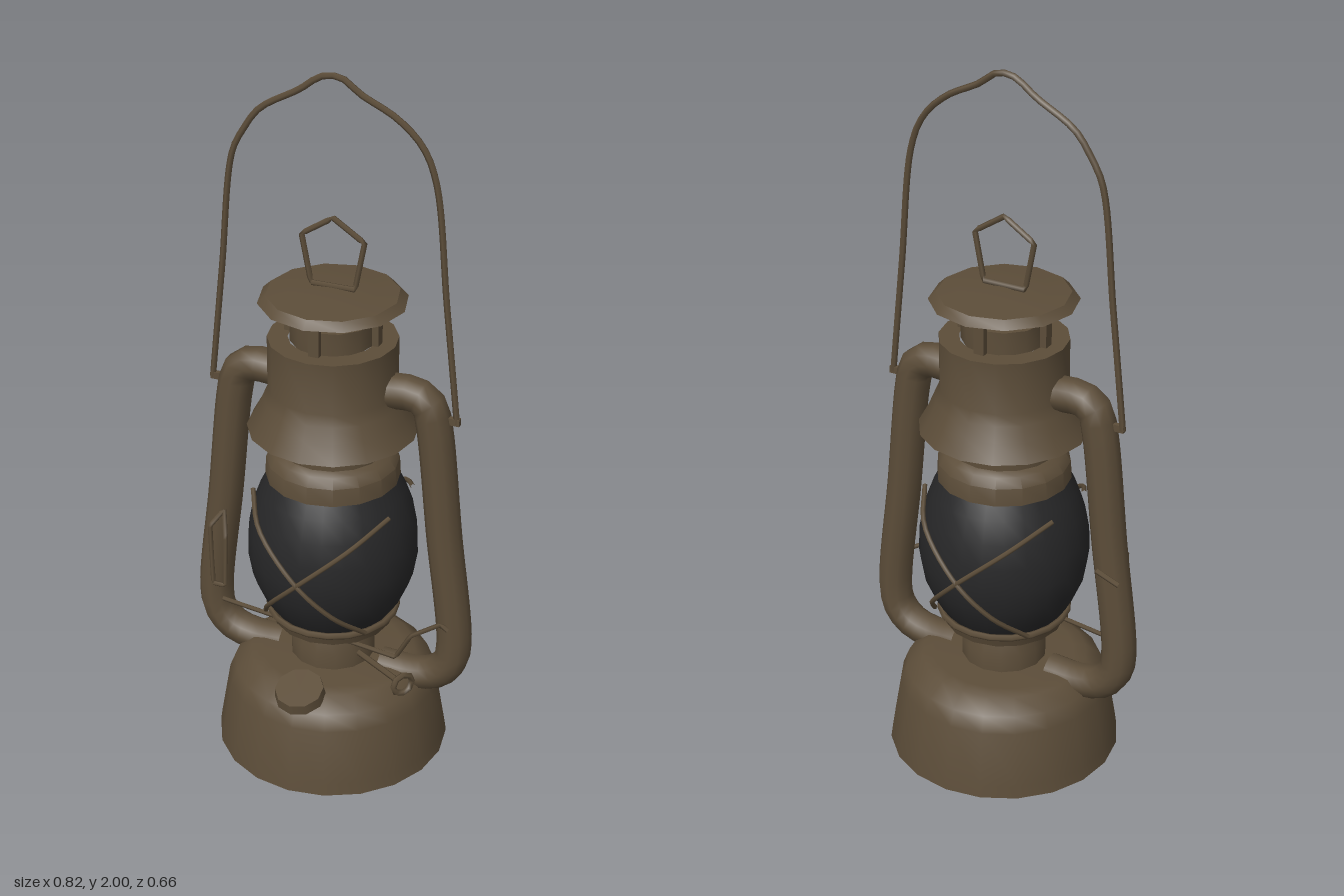
import * as THREE from 'three';
import { toCreasedNormals } from 'three/addons/utils/BufferGeometryUtils.js';

const metal = new THREE.MeshStandardMaterial({ color: 0x5c4d39 });
metal.name = 'agedBrass';
const glass = new THREE.MeshStandardMaterial({ color: 0x272728 });
glass.name = 'smokedGlass';

export function createModel() {
  const group = new THREE.Group();

  function add(name, geometry, material = metal) {
    const mesh = new THREE.Mesh(geometry, material);
    mesh.name = name;
    group.add(mesh);
    return mesh;
  }

  // Turned part from [radius, height] pairs, listed bottom to top on the outside
  function turned(name, profile, sides = 18, material = metal) {
    const points = profile.map(([r, y]) => new THREE.Vector2(r, y));
    return add(name, toCreasedNormals(new THREE.LatheGeometry(points, sides), 0.6), material);
  }

  // Tube through points, with straight runs or a smooth curve
  function tube(name, coords, radius, { smooth = false, sides = 5, closed = false, steps = 32 } = {}) {
    const points = coords.map((p) => new THREE.Vector3(...p));
    let path;
    if (smooth) {
      path = new THREE.CatmullRomCurve3(points, closed);
    } else {
      path = new THREE.CurvePath();
      const count = closed ? points.length : points.length - 1;
      for (let i = 0; i < count; i++) {
        path.add(new THREE.LineCurve3(points[i], points[(i + 1) % points.length]));
      }
    }
    return add(name, new THREE.TubeGeometry(path, steps, radius, sides, closed));
  }

  // Fuel tank and burner
  turned('fuelTank', [[0, 0.005], [0.33, 0.005], [0.325, 0.04], [0.298, 0.2], [0.28, 0.245],
    [0.235, 0.28], [0.2, 0.285], [0, 0.285]], 20);
  turned('burnerCollar', [[0.12, 0.28], [0.12, 0.335], [0.1, 0.4], [0, 0.4]], 14);
  turned('burnerPlate', [[0, 0.385], [0.1, 0.385], [0.125, 0.405], [0.17, 0.405], [0.182, 0.44],
    [0.165, 0.445], [0, 0.445]], 16);

  // Glass globe
  turned('globe', [[0.165, 0.435], [0.195, 0.48], [0.225, 0.55], [0.237, 0.62], [0.235, 0.69],
    [0.222, 0.76], [0.2, 0.82], [0.175, 0.87]], 24, glass);

  // Chimney, from the globe holder to the bell
  turned('globeHolder', [[0, 0.86], [0.185, 0.86], [0.182, 0.91], [0.165, 0.935], [0.145, 0.945],
    [0.145, 1.03]], 16);
  turned('chimneyBell', [[0, 1.02], [0.145, 1.02], [0.233, 1.01], [0.205, 1.06], [0.188, 1.1],
    [0.175, 1.13], [0.175, 1.275], [0.12, 1.275]], 16);
  turned('chimneyCollar', [[0.115, 1.27], [0.115, 1.335], [0, 1.335]], 12);

  // Hood on its stem and posts
  turned('hood', [[0, 1.37], [0.165, 1.37], [0.2, 1.382], [0.178, 1.403], [0.12, 1.408], [0, 1.418]], 12);
  add('hoodStem', new THREE.BoxGeometry(0.07, 0.06, 0.07)).position.y = 1.35;
  for (let i = 0; i < 4; i++) {
    const angle = i * Math.PI / 2;
    const post = add('hoodPost', new THREE.BoxGeometry(0.018, 0.1, 0.03));
    post.position.set(0.125 * Math.cos(angle), 1.325, 0.125 * Math.sin(angle));
    post.rotation.y = -angle;
  }

  // Pentagon lifting ring
  tube('liftingRing', [[0, 1.612, 0], [0.088, 1.555, 0], [0.062, 1.42, 0], [-0.062, 1.42, 0],
    [-0.088, 1.555, 0]], 0.008, { closed: true, steps: 40 });

  // Side air tubes, mirrored
  for (const s of [-1, 1]) {
    tube('airTube', [[0.15, 1.145], [0.235, 1.148], [0.272, 1.125], [0.288, 1.07], [0.325, 0.74],
      [0.364, 0.39], [0.352, 0.325], [0.31, 0.28], [0.24, 0.262], [0.15, 0.265]]
      .map(([x, y]) => [s * x, y, 0]), 0.049, { smooth: true, sides: 10, steps: 36 });
    const lug = add('handlePivot', new THREE.BoxGeometry(0.07, 0.02, 0.014));
    lug.position.set(s * 0.325, 1.09, 0);
  }

  // Carrying handle
  tube('carryingHandle', [[-0.355, 1.085, 0], [-0.318, 1.42, 0], [-0.28, 1.75, 0], [-0.245, 1.82, 0],
    [-0.2, 1.88, 0], [-0.09, 1.945, 0], [-0.03, 1.987, 0], [0.02, 1.99, 0], [0.075, 1.953, 0],
    [0.17, 1.905, 0], [0.24, 1.84, 0], [0.278, 1.75, 0], [0.315, 1.42, 0], [0.352, 1.085, 0]],
  0.009, { smooth: true, steps: 70 });

  // Crossed guard wires in front of and behind the globe
  for (const z of [-1, 1]) {
    for (const x of [-1, 1]) {
      tube('guardWire', [[-0.2 * x, 0.81, 0.09 * z], [-0.13 * x, 0.755, 0.205 * z], [0, 0.645, 0.262 * z],
        [0.09 * x, 0.55, 0.232 * z], [0.15 * x, 0.45, 0.13 * z]], 0.007, { smooth: true, steps: 20 });
    }
  }
  const guardRing = add('guardRing', new THREE.TorusGeometry(0.18, 0.01, 5, 20));
  guardRing.rotation.x = Math.PI / 2;
  guardRing.position.y = 0.44;

  // Globe lifting lever and side latch
  tube('globeLever', [[-0.32, 0.395, 0.05], [0.24, 0.395, 0.13], [0.29, 0.49, 0.15], [0.345, 0.485, 0.06],
    [0.365, 0.47, 0.06]], 0.007, { steps: 50 });
  tube('sideLatch', [[-0.33, 0.47, 0.09], [-0.293, 0.47, 0.09], [-0.293, 0.62, 0.08],
    [-0.31, 0.695, 0.05], [-0.335, 0.66, 0.09]], 0.007, { closed: true, steps: 50 });
  tube('latchPin', [[-0.315, 0.67, -0.05], [-0.39, 0.655, -0.065]], 0.008, { steps: 2 });

  // Wick adjuster
  tube('wickShaft', [[0.09, 0.325, 0.05], [0.25, 0.325, 0.14]], 0.009, { steps: 2 });
  const wheel = add('wickWheel', new THREE.TorusGeometry(0.03, 0.009, 5, 8));
  wheel.position.set(0.27, 0.325, 0.15);
  wheel.rotation.y = 0.9;

  // Tilted filler cap
  const filler = new THREE.Group();
  filler.name = 'filler';
  filler.position.set(0, 0.285, 0.24);
  filler.rotation.x = 0.28;
  const neck = new THREE.Mesh(new THREE.CylinderGeometry(0.05, 0.04, 0.07, 10), metal);
  neck.name = 'fillerNeck';
  neck.position.y = -0.035;
  const lid = new THREE.Mesh(new THREE.CylinderGeometry(0.068, 0.072, 0.03, 10), metal);
  lid.name = 'fillerCap';
  filler.add(neck, lid);
  group.add(filler);

  return group;
}
